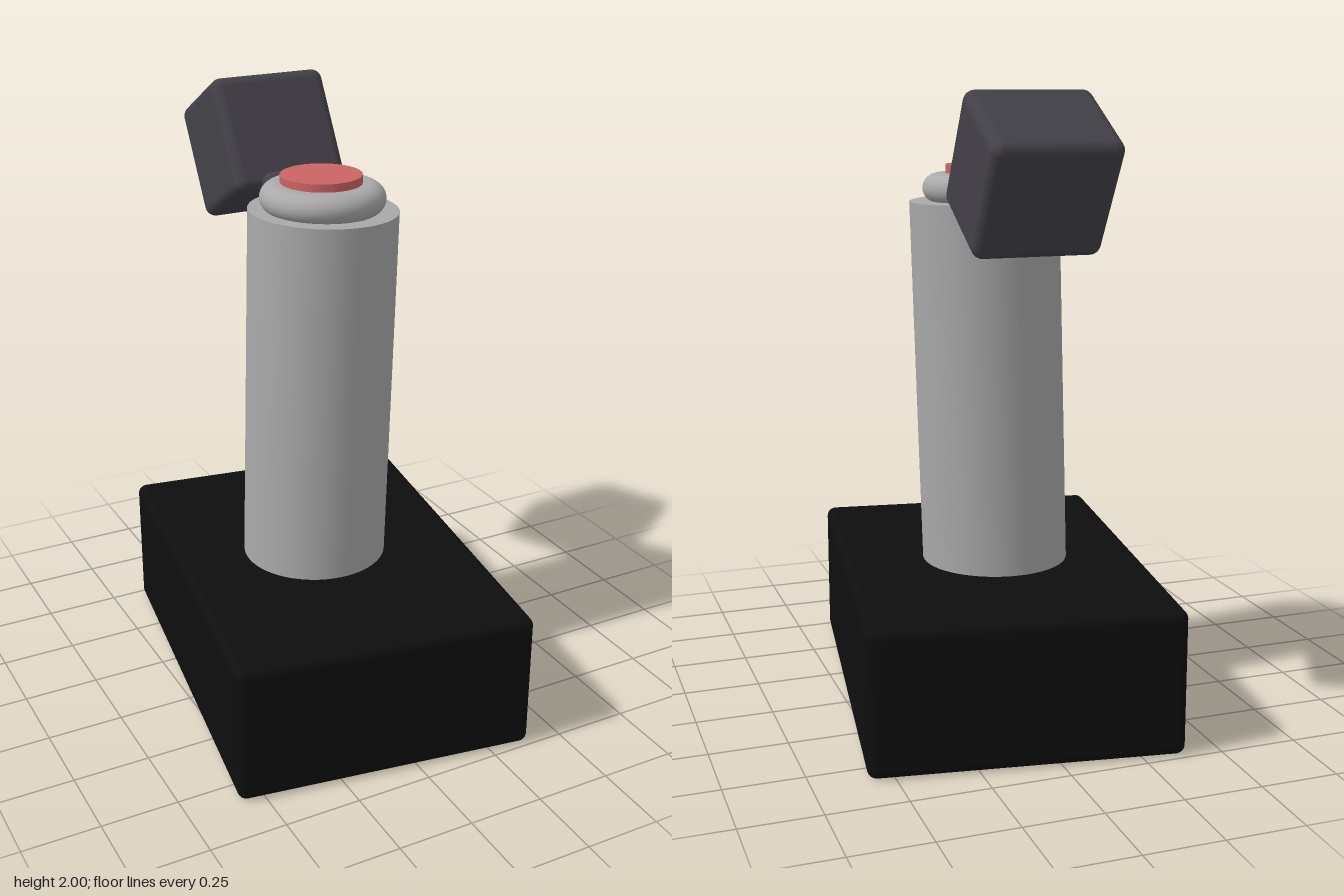
import * as THREE from 'three';
import { RoundedBoxGeometry } from 'three/addons/geometries/RoundedBoxGeometry.js';

const deg = THREE.MathUtils.degToRad;

function material(name, color) {
  const m = new THREE.MeshStandardMaterial({ color });
  m.name = name;
  return m;
}

function part(parent, name, geometry, mat, x, y, z) {
  const mesh = new THREE.Mesh(geometry, mat);
  mesh.name = name;
  mesh.position.set(x, y, z);
  parent.add(mesh);
  return mesh;
}

export function createModel() {
  const model = new THREE.Group();
  model.name = 'buttonStick';
  const black = material('black', 0x0e0e0e);
  const grey = material('grey', 0xa9a9a9);
  const charcoal = material('charcoal', 0x434148);
  const red = material('red', 0xcb6464);

  // Heavy base block, turned a little on the ground
  const base = part(model, 'base', new RoundedBoxGeometry(0.98, 0.465, 1.355, 4, 0.03), black, 0, 0.2325, 0);
  base.rotation.y = deg(-8.5);

  // Handle, leaning slightly to its left and sunk into the base
  const handle = part(model, 'handle', new THREE.CylinderGeometry(0.24, 0.24, 1.3, 64), grey, 0.0015, 1.006, -0.015);
  handle.rotation.z = deg(-1.7);

  // Rounded collar under the button
  const profile = [new THREE.Vector2(0, -0.03), new THREE.Vector2(0.155, -0.03)];
  for (let i = 0; i <= 16; i++) {
    const a = -Math.PI / 2 + (Math.PI * i) / 16;
    profile.push(new THREE.Vector2(0.15 + 0.05 * Math.cos(a), 0.045 + 0.047 * Math.sin(a)));
  }
  profile.push(new THREE.Vector2(0, 0.092));
  const collar = part(model, 'collar', new THREE.LatheGeometry(profile, 64), grey, 0.018, 1.648, -0.016);
  collar.rotation.z = deg(-0.8);

  // Push button
  part(model, 'button', new THREE.CylinderGeometry(0.13, 0.13, 0.05, 64), red, 0.016, 1.741, -0.022);

  // Hinge pin behind the collar
  const hinge = part(model, 'hinge', new THREE.CapsuleGeometry(0.035, 0.165, 8, 24), charcoal, 0.027, 1.697, -0.226);
  hinge.rotation.set(0, deg(3), Math.PI / 2);

  // Flip cap, swung open to the back
  const cap = part(model, 'cap', new RoundedBoxGeometry(0.4, 0.387, 0.332, 5, 0.035), charcoal, 0.034, 1.762, -0.484);
  cap.rotation.x = deg(-30);

  return model;
}
